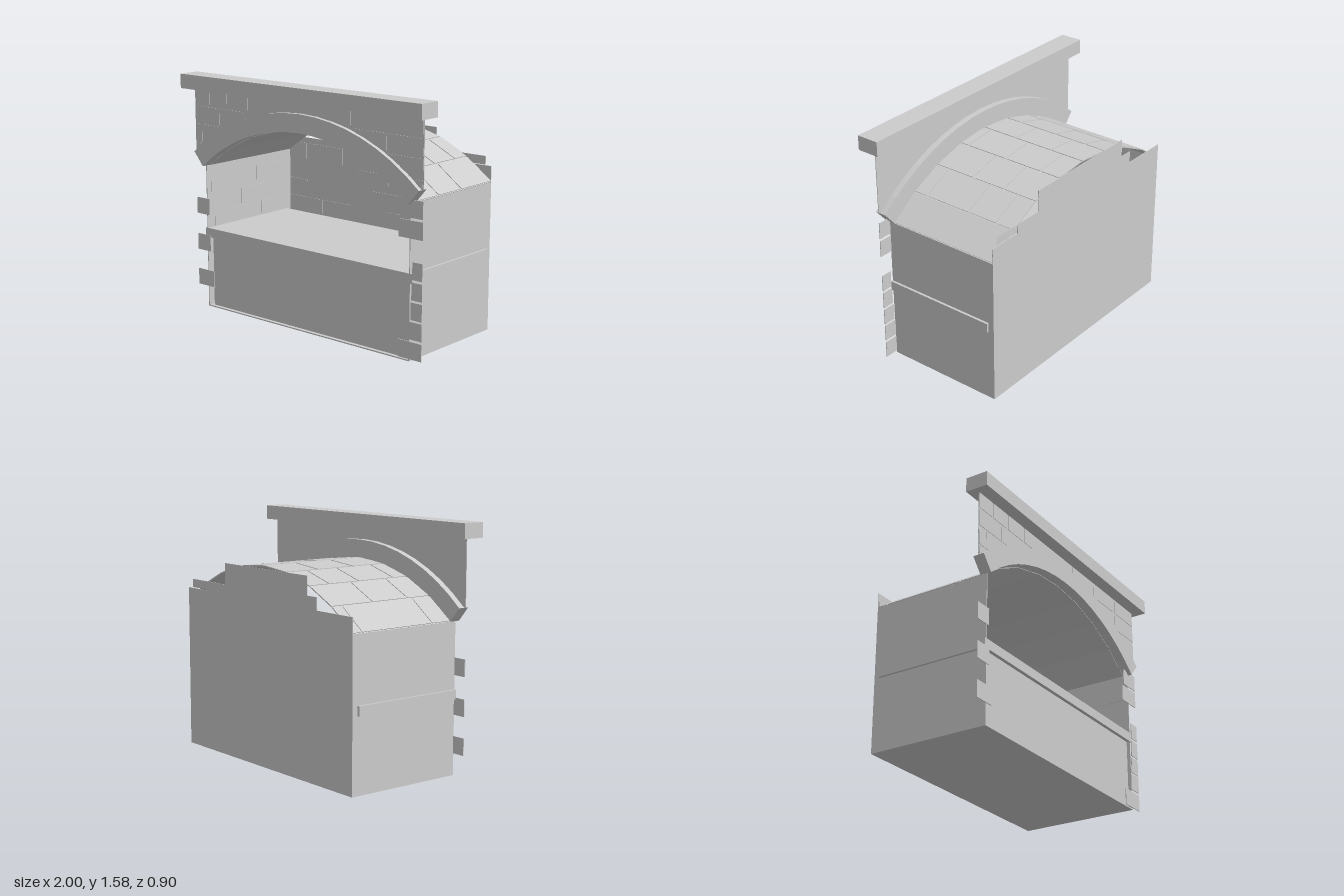
import * as THREE from 'three';

const stone = new THREE.MeshStandardMaterial({ color: 0xcccccc, side: THREE.DoubleSide });
stone.name = 'grey stone';

// Shared circle of the vault and the arch
const R = 1.33, CY = -0.04, HALF = Math.asin(0.865 / R);
const FRONT = 0.365, BACK = -0.45;

export function createModel() {
  const model = new THREE.Group();
  model.name = 'wallNiche';

  const add = (name, geometry, parent = model) => {
    const mesh = new THREE.Mesh(geometry, stone);
    mesh.name = name;
    parent.add(mesh);
    return mesh;
  };
  const group = (name) => {
    const g = new THREE.Group();
    g.name = name;
    model.add(g);
    return g;
  };
  // Box given by its limits on each axis
  const block = (name, x0, x1, y0, y1, z0, z1, parent) => {
    const mesh = add(name, new THREE.BoxGeometry(x1 - x0, y1 - y0, z1 - z0), parent);
    mesh.position.set((x0 + x1) / 2, (y0 + y1) / 2, (z0 + z1) / 2);
    return mesh;
  };
  const onArc = (radius, a) => new THREE.Vector2(radius * Math.sin(a), CY + radius * Math.cos(a));
  const arc = (radius, n) => Array.from({ length: n + 1 }, (_, i) => onArc(radius, -HALF + 2 * HALF * i / n));
  const extrude = (points, z0, z1) => {
    const g = new THREE.ExtrudeGeometry(new THREE.Shape(points), { depth: z1 - z0, bevelEnabled: false });
    return g.translate(0, 0, z0);
  };
  const vecs = (list) => list.map(([x, y]) => new THREE.Vector2(x, y));

  // Chest: floor, side walls, front panel and bench slab
  block('floor', -0.865, 0.862, 0, 0.008, BACK, FRONT);
  block('rightWall', -0.865, -0.859, 0.005, 0.97, BACK, FRONT);
  block('leftWall', 0.856, 0.862, 0.005, 0.97, BACK, FRONT);
  block('frontPanel', -0.835, 0.858, 0.005, 0.485, 0.335, 0.341);
  block('benchSlab', -0.88, 0.878, 0.483, 0.545, -0.41, FRONT);

  // Back wall with a stepped top
  add('backWall', extrude(vecs([
    [-0.865, 0.005], [0.862, 0.005], [0.862, 1.07], [0.63, 1.07], [0.63, 1.13], [0.43, 1.13],
    [0.43, 1.27], [-0.435, 1.27], [-0.435, 1.15], [-0.53, 1.15], [-0.53, 1.07], [-0.865, 1.07],
  ]), BACK, BACK + 0.004));

  // Scattered bricks on the back wall: x0, x1, y0, y1
  const backBricks = group('backWallBricks');
  [
    [-0.86, -0.7, 0.915, 1.03], [-0.685, -0.365, 0.915, 1.03], [0.25, 0.56, 0.915, 1.03],
    [-0.245, 0.04, 0.79, 0.9], [0.655, 0.855, 0.79, 0.9],
    [-0.855, -0.69, 0.66, 0.77], [-0.095, 0.16, 0.66, 0.77], [0.515, 0.825, 0.66, 0.77],
    [-0.855, -0.555, 0.547, 0.645], [-0.54, -0.295, 0.547, 0.645], [0.025, 0.27, 0.547, 0.645],
    [0.285, 0.585, 0.547, 0.645], [0.595, 0.855, 0.547, 0.645],
    [-0.075, 0.245, 1.17, 1.26], [0.54, 0.82, 1.075, 1.13],
  ].forEach(([x0, x1, y0, y1]) => block('backBrick', x0, x1, y0, y1, BACK + 0.004, BACK + 0.007, backBricks));

  // Bricks on the inner faces of the side walls: z0, z1, y0, y1
  const sideBricks = group('sideWallBricks');
  [
    [-0.42, -0.15, 0.55, 0.645], [0.0, 0.3, 0.55, 0.645], [-0.25, 0.05, 0.66, 0.77],
    [0.07, 0.33, 0.79, 0.9], [-0.4, -0.1, 0.79, 0.9],
  ].forEach(([z0, z1, y0, y1]) => {
    block('rightWallBrick', -0.859, -0.856, y0, y1, z0, z1, sideBricks);
    block('leftWallBrick', 0.853, 0.856, y0, y1, z0, z1, sideBricks);
  });

  // Vault: eight flat courses with brick plates, split at the listed z joints
  const vault = group('vault');
  const ribs = arc(R, 8);
  [
    [-0.38, 0.17], [-0.14, 0.14], [-0.3, -0.07, 0.21], [-0.21, 0.07],
    [-0.31, -0.04, 0.26], [-0.21, 0.03], [-0.32, -0.11, 0.22], [-0.13, 0.1],
  ].forEach((joints, i) => {
    const a = ribs[i], b = ribs[i + 1];
    const course = new THREE.Group();
    course.name = 'vaultCourse';
    course.position.set((a.x + b.x) / 2, (a.y + b.y) / 2, 0);
    course.rotation.z = Math.atan2(b.y - a.y, b.x - a.x);
    vault.add(course);
    const w = a.distanceTo(b) / 2;
    block('vaultShell', -w, w, -0.003, 0, BACK, 0.33, course);
    const ends = [BACK - 0.006, ...joints, 0.326];
    for (let k = 0; k + 1 < ends.length; k++) {
      block('vaultBrick', -w + 0.006, w - 0.006, 0, 0.004, ends[k] + 0.006, ends[k + 1] - 0.006, course);
    }
  });

  // Front arch ring
  const outer = arc(R + 0.12, 16);
  add('archRing', extrude([...outer, ...arc(R, 16).reverse()], 0.32, 0.395));

  // Thin wall above the arch, with its coping
  add('facade', extrude([
    ...vecs([[-0.955, 1.485], [-0.955, 1.07]]), ...outer, ...vecs([[0.955, 1.07], [0.955, 1.485]]),
  ], FRONT - 0.004, FRONT));
  block('coping', -1, 1, 1.485, 1.58, 0.3, 0.45);

  // Facade bricks: x0, x1, y0, y1
  const facadeBricks = group('facadeBricks');
  [
    [-0.95, -0.82, 1.38, 1.483], [-0.805, -0.655, 1.38, 1.483], [-0.64, -0.47, 1.38, 1.483],
    [-0.455, 0.13, 1.38, 1.483], [0.14, 0.4, 1.38, 1.483], [0.415, 0.68, 1.38, 1.483], [0.7, 0.95, 1.38, 1.483],
    [-0.95, -0.725, 1.26, 1.365], [-0.71, -0.5, 1.26, 1.365], [0.44, 0.68, 1.26, 1.365], [0.7, 0.95, 1.26, 1.365],
    [-0.95, -0.895, 1.13, 1.245], [-0.88, -0.66, 1.13, 1.245], [0.66, 0.765, 1.13, 1.245], [0.78, 0.95, 1.13, 1.245],
    [-0.95, -0.9, 1.075, 1.118], [0.9, 0.95, 1.075, 1.118],
  ].forEach(([x0, x1, y0, y1]) => block('facadeBrick', x0, x1, y0, y1, FRONT, FRONT + 0.003, facadeBricks));

  // Flat corner stones down both jambs: x0, x1, y0, y1
  const quoins = group('cornerStones');
  [
    [-0.955, -0.84, 0.635, 0.745], [-0.955, -0.835, 0.385, 0.495], [-0.955, -0.805, 0.14, 0.25],
    [0.775, 0.955, 0.015, 0.125], [0.855, 0.955, 0.14, 0.25], [0.87, 0.955, 0.262, 0.372],
    [0.875, 0.955, 0.385, 0.495], [0.88, 0.955, 0.51, 0.62], [0.775, 0.955, 0.76, 0.87],
    [0.8, 0.955, 0.885, 0.995],
  ].forEach(([x0, x1, y0, y1]) => block('cornerStone', x0, x1, y0, y1, FRONT - 0.003, FRONT + 0.002, quoins));

  return model;
}
